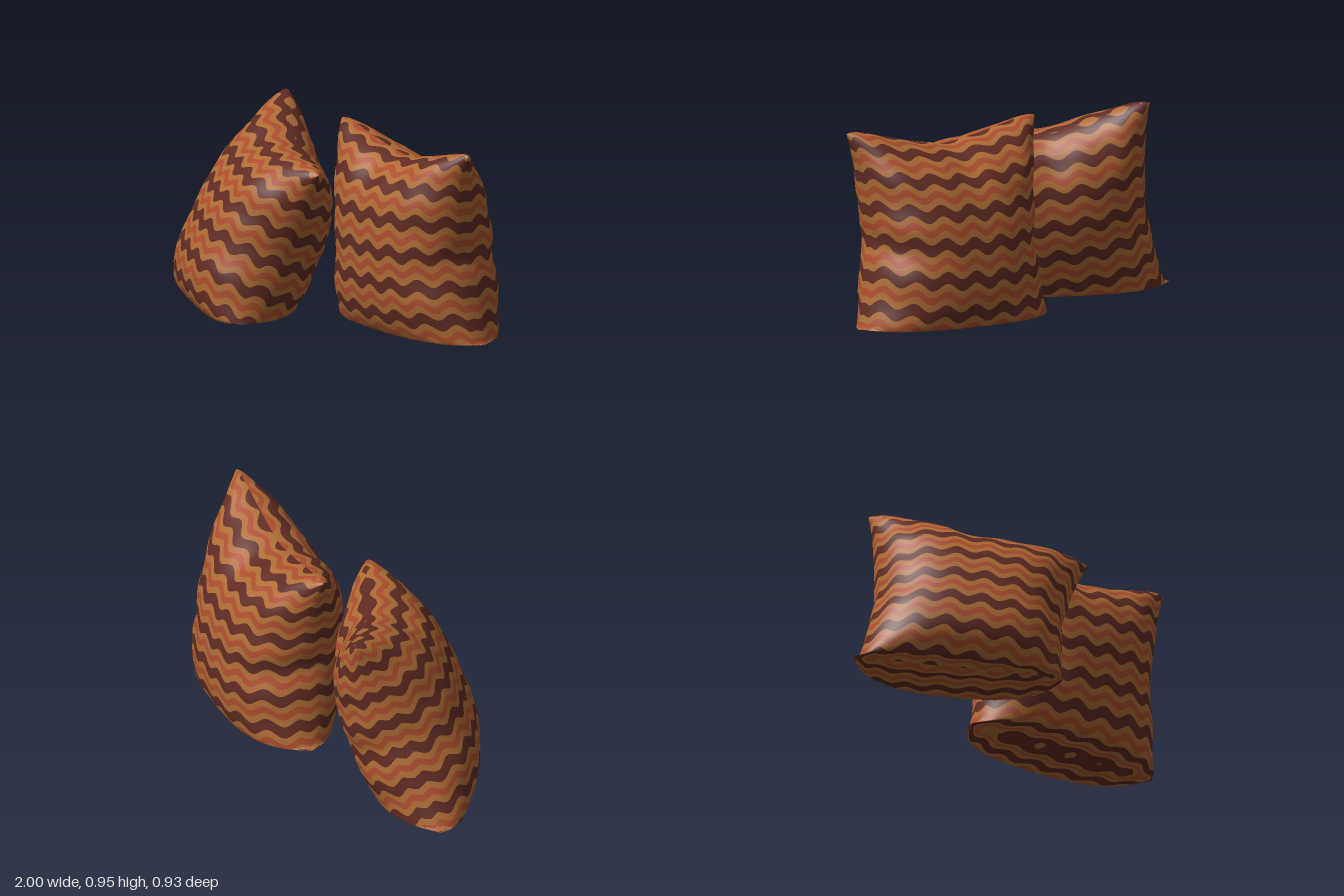
import * as THREE from 'three';
import { mergeVertices } from 'three/addons/utils/BufferGeometryUtils.js';

const COLS = 100, SAMPLES = 120;
// stripe colours upward through one repeat: 0 dark, 1 ochre, 2 rust
const REPEAT = [0, 0, 0, 0, 0, 1, 1, 1, 2, 2, 2, 1, 1, 1];
const PERIOD = 0.163, WAVELENGTH = 0.15, AMPLITUDE = 0.019;

const bell = (t, centre, width) => Math.exp(-(((t - centre) / width) ** 2));

// Point on a stuffed cushion: u across, v up, side +1 front or -1 back
function cushionPoint(c, u, v, side) {
  const edge = Math.abs(2 * u - 1);
  // edges pull inward between the corners
  const pull = c.sideSag * 4 * v * (1 - v) + c.pinch * bell(v, 0.48, 0.07) * edge ** 6;
  const a = 0.5 + (u - 0.5) * (1 - pull);
  // the top sags in the middle and its corners are blunt
  const b = v - c.topSag * v ** 3 * (1 - edge ** 1.3) - 0.025 * v ** 6 * edge ** 14;
  const low = c.corners[0].clone().lerp(c.corners[1], a);
  const high = c.corners[2].clone().lerp(c.corners[3], a);
  const p = low.lerp(high, b);

  // plump section, fullest in the lower half
  const across = 1 - edge ** 2.8;
  const up = 1 - Math.abs(2 * v ** 0.74 - 1) ** 2.6;
  let puff = Math.max(0, across * up) ** 0.52;
  // soft folds running in from the seams
  const rim = edge ** 3;
  puff *= 1 + 0.06 * rim * Math.sin(v * 27 + side) + 0.05 * v ** 6 * Math.sin(u * 24 + side);
  puff *= 1 - 0.1 * rim * bell(v, 0.46, 0.06) - 0.08 * bell(v, 0.9, 0.06) * bell(u, 0.45, 0.1);
  p.addScaledVector(c.normal, side * puff * (side > 0 ? c.front : c.back));
  // the underside rests flat on the floor
  p.y = Math.max(0, p.y);
  return p;
}

// Measures a curve over 0..1; converts between parameter and length
function measure(pointAt) {
  const lengths = [0];
  let last = pointAt(0);
  for (let i = 1; i <= SAMPLES; i++) {
    const next = pointAt(i / SAMPLES);
    lengths.push(lengths[i - 1] + next.distanceTo(last));
    last = next;
  }
  const total = lengths[SAMPLES];
  const lengthAt = (t) => {
    const i = Math.min(SAMPLES - 1, Math.floor(t * SAMPLES));
    return lengths[i] + (lengths[i + 1] - lengths[i]) * (t * SAMPLES - i);
  };
  const paramAt = (s) => {
    if (s <= 0) return 0;
    if (s >= total) return 1;
    const i = lengths.findIndex((len) => len > s) - 1;
    return (i + (s - lengths[i]) / (lengths[i + 1] - lengths[i])) / SAMPLES;
  };
  return { total, lengthAt, paramAt };
}

function makeCushion(c, materials) {
  const positions = [];
  const faces = materials.map(() => []);
  const step = PERIOD / REPEAT.length;
  const girth = measure((t) => cushionPoint(c, t, 0.45, 1));
  for (const side of [1, -1]) {
    const start = positions.length / 3;
    const columns = [];
    let below = 0, above = 0;
    for (let i = 0; i <= COLS; i++) {
      const s = (i / COLS) * girth.total;
      const u = girth.paramAt(s);
      const rise = measure((t) => cushionPoint(c, u, t, side));
      const base = rise.lengthAt(c.anchor);
      const wave = AMPLITUDE * Math.sin((s / WAVELENGTH) * Math.PI * 2);
      columns.push({ u, rise, offset: base + wave });
      below = Math.max(below, base + AMPLITUDE);
      above = Math.max(above, rise.total - base + AMPLITUDE);
    }
    // grid rows follow the wavy stripe edges; row 0 starts a dark stripe
    const first = -Math.ceil(below / step);
    const last = Math.ceil(above / step) + 3;
    for (let r = first; r <= last; r++) {
      for (const { u, rise, offset } of columns) {
        const v = rise.paramAt(offset + (r - 2.5) * step);
        positions.push(...cushionPoint(c, u, v, side).toArray());
      }
    }
    const n = REPEAT.length;
    for (let r = first; r < last; r++) {
      const band = REPEAT[((r % n) + n) % n];
      for (let i = 0; i < COLS; i++) {
        const a = start + (r - first) * (COLS + 1) + i;
        const b = a + 1, d = a + COLS + 1, e = d + 1;
        if (side > 0) faces[band].push(a, b, e, a, e, d);
        else faces[band].push(a, e, b, a, d, e);
      }
    }
  }
  let geometry = new THREE.BufferGeometry();
  geometry.setAttribute('position', new THREE.Float32BufferAttribute(positions, 3));
  geometry.setIndex(faces.flat());
  let offset = 0;
  faces.forEach((list, m) => {
    geometry.addGroup(offset, list.length, m);
    offset += list.length;
  });
  // weld the seam so the shading runs round it
  geometry = mergeVertices(geometry, 1e-4);
  geometry.computeVertexNormals();
  const mesh = new THREE.Mesh(geometry, materials);
  mesh.name = c.name;
  return mesh;
}

const vec = (x, y, z) => new THREE.Vector3(x, y, z);

export function createModel() {
  const group = new THREE.Group();
  group.name = 'cushionPair';
  const material = (name, color) => {
    const m = new THREE.MeshStandardMaterial({ color, side: THREE.DoubleSide });
    m.name = name;
    return m;
  };
  const materials = [
    material('darkBrown', 0x602b23),
    material('ochre', 0xae6c35),
    material('rust', 0xac4d2d),
  ];

  // corners: bottom left, bottom right, top left, top right as seen from the front
  const cushions = [
    {
      name: 'leaningCushion',
      corners: [vec(-1.0, -0.08, -0.18), vec(-0.15, -0.08, 0.42), vec(-0.61, 0.97, -0.42), vec(0.21, 0.78, 0.26)],
      normal: vec(-0.52, 0.39, 0.75).normalize(),
      front: 0.3, back: 0.3, sideSag: 0.12, topSag: 0.09, pinch: 0.02, anchor: 0.43,
    },
    {
      name: 'uprightCushion',
      corners: [vec(-0.06, -0.09, -0.26), vec(1.0, -0.09, -0.03), vec(-0.06, 0.955, -0.19), vec(0.985, 0.965, 0.06)],
      normal: vec(-0.23, 0.04, 0.97).normalize(),
      front: 0.29, back: 0.33, sideSag: 0.16, topSag: 0.11, pinch: 0.04, anchor: 0.49,
    },
  ];
  for (const c of cushions) group.add(makeCushion(c, materials));
  return group;
}
